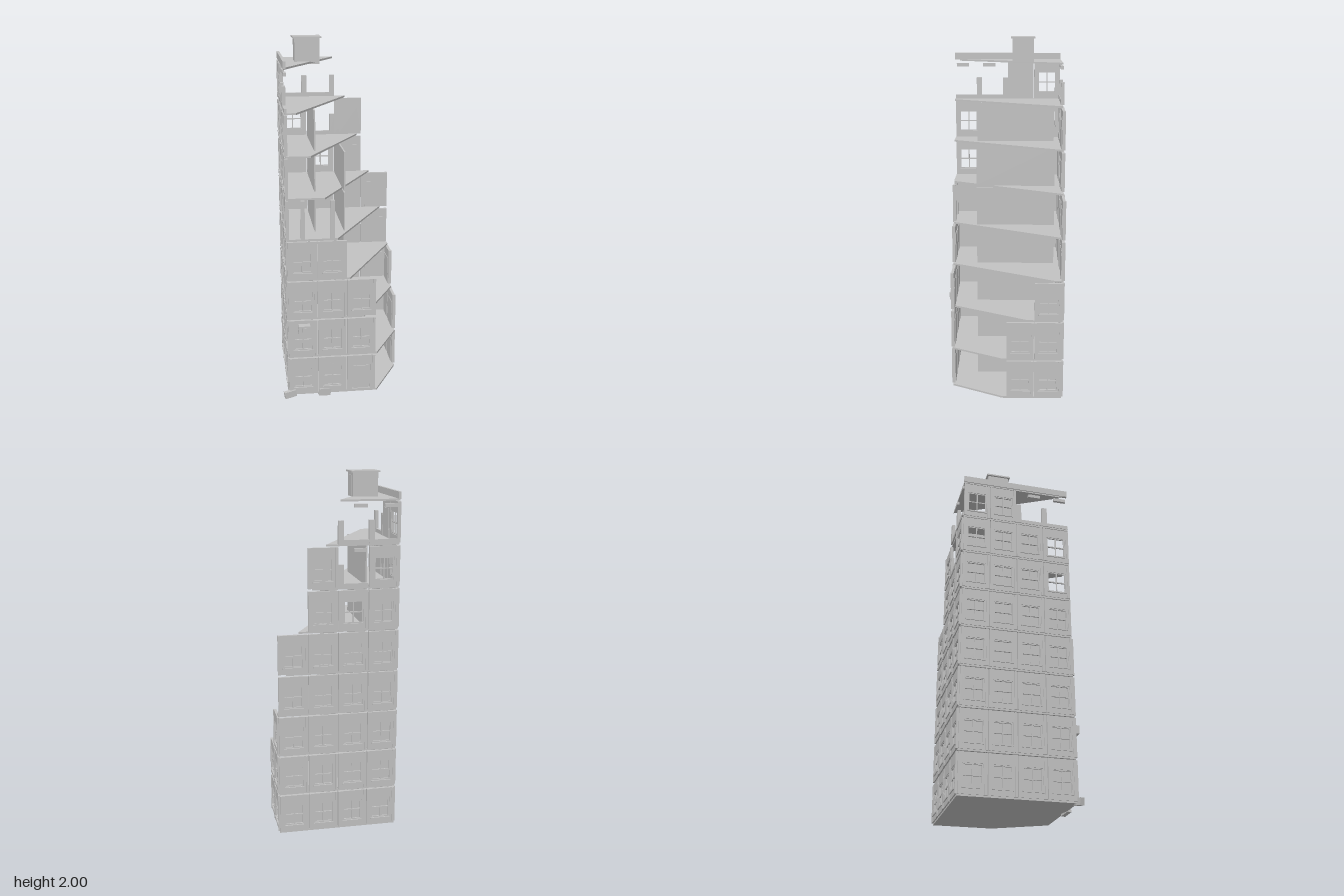
import * as THREE from 'three';

const concrete = new THREE.MeshStandardMaterial({ color: 0xc2c2c2 });
concrete.name = 'concrete grey';

const STOREY = 0.23, BASE = 0.02;
const X0 = -0.32, X1 = 0.34, Z0 = -0.33, Z1 = 0.29;
const BAY_X = (X1 - X0) / 4, BAY_Z = (Z1 - Z0) / 4;
const SLOPE = 0.54;
// where each floor's diagonal break meets the front edge
const CUTS = [0.185, 0.185, 0.108, 0.03, -0.04, -0.11, -0.185, -0.26, -0.335];
const floorY = i => BASE + STOREY * i;

function add(parent, name, geometry, x = 0, y = 0, z = 0) {
  const m = new THREE.Mesh(geometry, concrete);
  m.name = name;
  m.position.set(x, y, z);
  parent.add(m);
  return m;
}

// box given by its bounds
function block(parent, name, x0, x1, y0, y1, z0, z1) {
  return add(parent, name, new THREE.BoxGeometry(x1 - x0, y1 - y0, z1 - z0),
    (x0 + x1) / 2, (y0 + y1) / 2, (z0 + z1) / 2);
}

function polygon(points) {
  return new THREE.Shape(points.map(p => new THREE.Vector2(p[0], p[1])));
}

// floor plate clipped by a diagonal line
function slab(parent, i) {
  const c = CUTS[i], p = [[X0, Z0]];
  const back = c + SLOPE * (Z1 - Z0);
  if (back > X1) p.push([X1, Z0], [X1, Z1 - (X1 - c) / SLOPE]);
  else p.push([back, Z0]);
  if (c > X0) p.push([c, Z1], [X0, Z1]);
  else p.push([X0, Z1 - (X0 - c) / SLOPE]);
  const g = new THREE.ExtrudeGeometry(polygon(p.map(([x, z]) => [x, -z])), { depth: 0.01, bevelEnabled: false });
  g.rotateX(-Math.PI / 2);
  add(parent, i === 8 ? 'roofSlab' : 'floorSlab', g, 0, floorY(i) - 0.006, 0);
}

// wall bay: local x along the wall, z outward; kind is window, open, door or ruin
function bay(width, kind) {
  const g = new THREE.Group();
  g.name = kind + 'Bay';
  const h = width / 2 - 0.002, top = 0.219, o = 0.053;
  if (kind === 'ruin') {
    block(g, 'brokenSill', -h, h, 0.004, 0.026, -0.01, 0.005);
    block(g, 'brokenPier', -h - 0.004, -h + 0.026, 0.004, 0.127, -0.012, 0.007);
    block(g, 'hangingLintel', h - 0.08, h - 0.008, 0.192, 0.211, -0.01, 0.005);
    return g;
  }
  const y0 = kind === 'door' ? 0.012 : 0.04, y1 = 0.162;
  const face = polygon([[-h, 0.004], [h, 0.004], [h, top], [-h, top]]);
  face.holes.push(polygon([[-o, y0], [-o, y1], [o, y1], [o, y0]]));
  add(g, 'wallPanel', new THREE.ExtrudeGeometry(face, { depth: 0.015, bevelEnabled: false }), 0, 0, -0.01);
  // raised edges and bands
  for (const s of [-1, 1]) block(g, 'pilaster', s * (h - 0.007) - 0.007, s * (h - 0.007) + 0.007, 0.004, top, 0.005, 0.008);
  if (kind === 'door') {
    block(g, 'doorLeaf', -0.043, 0.043, 0.012, 0.152, -0.007, -0.001);
    block(g, 'doorBacking', -o - 0.003, o + 0.003, 0.006, 0.166, -0.013, -0.007);
    return g;
  }
  block(g, 'windowSill', -o - 0.003, o + 0.003, y0 - 0.007, y0, 0.004, 0.01);
  const mid = (y0 + y1) / 2;
  for (const s of [-1, 1]) block(g, 'sashStile', s * (o - 0.003) - 0.003, s * (o - 0.003) + 0.003, y0, y1, -0.006, 0.002);
  for (const y of [y0 + 0.003, mid, y1 - 0.003]) block(g, 'sashRail', -o, o, y - 0.003, y + 0.003, -0.006, 0.002);
  block(g, 'sashMullion', -0.003, 0.003, y0, y1, -0.005, 0.001);
  if (kind === 'window') block(g, 'windowPane', -o - 0.003, o + 0.003, 0.006, y1 + 0.004, -0.013, -0.007);
  return g;
}

const SIDES = {
  front: { angle: 0, width: BAY_X, at: k => [X0 + (k + 0.5) * BAY_X, 0.29] },
  back: { angle: Math.PI, width: BAY_X, at: k => [X0 + (k + 0.5) * BAY_X, -0.332] },
  right: { angle: -Math.PI / 2, width: BAY_Z, at: k => [-0.318, Z0 + (k + 0.5) * BAY_Z] },
  left: { angle: Math.PI / 2, width: BAY_Z, at: k => [0.34, Z0 + (k + 0.5) * BAY_Z] },
};

// bays per floor: w window, o unglazed window, d door, r ruined
const WALLS = {
  front: ['wwd', 'www', 'www', 'ww'],
  back: ['wwww', 'wwww', 'wwww', 'wwww', 'wwww', 'wow', 'orw', 'rr'],
  right: ['wwww', 'wwww', 'wwww', 'wwww', 'wwww', 'wwwo', 'owwo', 'owrr'],
  left: ['ww', 'ww', 'w'],
};
const KINDS = { w: 'window', o: 'open', d: 'door', r: 'ruin' };

export function createModel() {
  const model = new THREE.Group();
  model.name = 'ruinedTower';

  for (let i = 0; i < 9; i++) slab(model, i);

  // outer walls
  for (const [name, rows] of Object.entries(WALLS)) {
    const side = SIDES[name], wall = new THREE.Group();
    wall.name = name + 'Wall';
    rows.forEach((row, i) => [...row].forEach((c, k) => {
      const b = bay(side.width, KINDS[c]), [x, z] = side.at(k);
      b.position.set(x, floorY(i), z);
      b.rotation.y = side.angle;
      wall.add(b);
    }));
    model.add(wall);
  }

  // inner partitions
  for (let i = 0; i < 7; i++) {
    const y = floorY(i) + 0.004, t = floorY(i + 1) - 0.006;
    block(model, 'partition', -0.155, -0.147, y, t, -0.29, 0.153);
    if (i < 6) block(model, 'partition', 0.009, 0.017, y, t, -0.29, 0.153);
  }

  // bare posts on the first open storey
  for (const x of [-0.232, -0.069]) block(model, 'frontPost', x - 0.011, x + 0.011, floorY(4), floorY(5) - 0.01, 0.278, 0.296);

  // parapet
  block(model, 'parapet', -0.325, -0.31, 1.862, 1.9, Z0, Z1);

  // rooftop hut
  block(model, 'roofHut', -0.24, -0.102, 1.862, 1.992, -0.17, -0.048);
  block(model, 'hutCap', -0.25, -0.092, 1.991, 2.0, -0.178, -0.04);
  block(model, 'hutDoor', -0.102, -0.099, 1.868, 1.975, -0.145, -0.075);

  // window cooling unit
  block(model, 'coolingUnit', -0.265, -0.2, 0.405, 0.45, 0.28, 0.334);
  block(model, 'coolingGrille', -0.243, -0.222, 0.414, 0.441, 0.334, 0.338);

  // fallen chunks at the foot of the front wall
  for (const [x, z, tilt] of [[-0.315, 0.298, 0.16], [-0.118, 0.294, -0.16]]) {
    const r = add(model, 'rubble', new THREE.BoxGeometry(0.068, 0.038, 0.024), x, 0.0245, z);
    r.rotation.set(0, 0.2, tilt);
  }

  // wall cracks
  const crack = new THREE.ExtrudeGeometry(polygon([[-0.03, 0.03], [-0.008, 0.008], [-0.01, -0.004], [0.03, -0.03],
    [-0.004, -0.004], [-0.002, 0.01]]), { depth: 0.003, bevelEnabled: false });
  add(model, 'crack', crack, -0.058, 0.18, 0.295);
  add(model, 'crack', crack, 0.143, 0.3, 0.295);

  return model;
}
